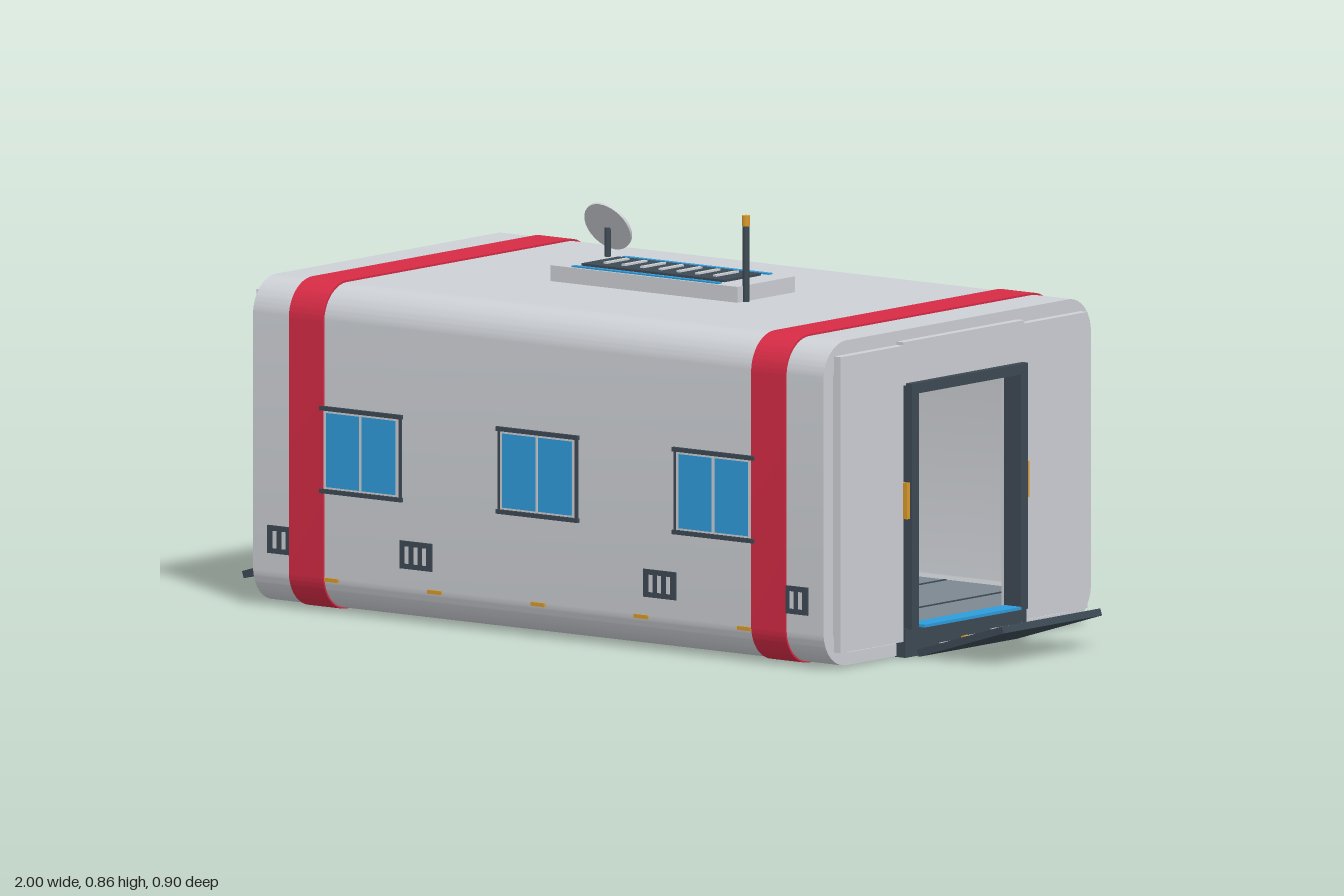
import * as THREE from 'three';
import { toCreasedNormals } from 'three/addons/utils/BufferGeometryUtils.js';

const mat = (name, color) => Object.assign(new THREE.MeshStandardMaterial({ color }), { name });

export function createModel() {
  const M = {
    shell: mat('shell grey', 0xcdd0d5),
    slate: mat('dark slate', 0x3d4a54),
    red: mat('band red', 0xd62b45),
    blue: mat('glass blue', 0x2d9cdb),
    amber: mat('amber', 0xd99a2b),
    floor: mat('floor grey', 0x7d8890),
  };
  const root = new THREE.Group();
  root.name = 'cabinModule';

  const add = (parent, name, geo, material, x = 0, y = 0, z = 0) => {
    const m = new THREE.Mesh(geo, material);
    m.name = name;
    m.position.set(x, y, z);
    parent.add(m);
    return m;
  };
  const box = (parent, name, material, w, h, d, x, y, z) =>
    add(parent, name, new THREE.BoxGeometry(w, h, d), material, x, y, z);
  const group = (name, parent = root) => {
    const g = new THREE.Group();
    g.name = name;
    parent.add(g);
    return g;
  };

  // Rounded cross-section in the z-y plane
  const section = (C, hw, y0, y1, r) => {
    const s = new C();
    s.moveTo(-hw + r, y0);
    s.lineTo(hw - r, y0);
    s.absarc(hw - r, y0 + r, r, -Math.PI / 2, 0);
    s.lineTo(hw, y1 - r);
    s.absarc(hw - r, y1 - r, r, 0, Math.PI / 2);
    s.lineTo(-hw + r, y1);
    s.absarc(-hw + r, y1 - r, r, Math.PI / 2, Math.PI);
    s.lineTo(-hw, y0 + r);
    s.absarc(-hw + r, y0 + r, r, Math.PI, Math.PI * 1.5);
    return s;
  };
  // Extrude a section with a hole along x, centred
  const sleeve = (outer, hole, length) => {
    outer.holes.push(hole);
    const g = new THREE.ExtrudeGeometry(outer, { depth: length, bevelEnabled: false, curveSegments: 12 });
    g.translate(0, 0, -length / 2).rotateY(Math.PI / 2);
    return toCreasedNormals(g, 0.5);
  };

  // Hollow body and wrap-around bands
  add(root, 'bodyShell', sleeve(section(THREE.Shape, 0.441, 0.004, 0.679, 0.075),
    section(THREE.Path, 0.41, 0.03, 0.65, 0.05), 1.498), M.shell);
  for (const s of [-1, 1]) {
    add(root, 'redBand', sleeve(section(THREE.Shape, 0.445, 0.001, 0.683, 0.078),
      section(THREE.Path, 0.44, 0.005, 0.678, 0.074), 0.09), M.red, s * 0.607);
  }

  // Interior floor with seams
  box(root, 'floor', M.floor, 1.47, 0.03, 0.815, 0, 0.045, 0);
  for (let i = -3; i <= 3; i++) box(root, 'floorSeam', M.slate, 0.006, 0.003, 0.8, i * 0.2, 0.0605, 0);

  // Underside plates
  for (const x of [-0.46, 0, 0.46]) box(root, 'undersidePlate', M.slate, 0.15, 0.006, 0.3, x, 0.003, 0);

  // End walls with door frames
  for (const s of [1, -1]) {
    const end = group(s > 0 ? 'leftEnd' : 'rightEnd');
    if (s < 0) end.rotation.y = Math.PI;
    const door = new THREE.Path();
    door.moveTo(-0.17, 0.06);
    door.lineTo(-0.17, 0.55);
    door.lineTo(0.17, 0.55);
    door.lineTo(0.17, 0.06);
    door.closePath();
    add(end, 'endWall', sleeve(section(THREE.Shape, 0.425, 0.02, 0.664, 0.062), door, 0.016), M.shell, 0.738);
    for (const k of [-1, 1]) {
      box(end, 'wallPanel', M.shell, 0.024, 0.615, 0.207, 0.755, 0.3425, k * 0.3035);
      box(end, 'doorJamb', M.slate, 0.045, 0.51, 0.023, 0.76, 0.315, k * 0.1805);
      box(end, 'doorLight', M.amber, 0.03, 0.075, 0.011, 0.763, 0.328, k * 0.1965);
    }
    box(end, 'headerPanel', M.shell, 0.024, 0.09, 0.4, 0.755, 0.612, 0);
    box(end, 'doorLintel', M.slate, 0.045, 0.022, 0.384, 0.76, 0.56, 0);
    box(end, 'doorSill', M.slate, 0.03, 0.06, 0.4, 0.757, 0.032, 0);
    box(end, 'thresholdStrip', M.blue, 0.045, 0.006, 0.32, 0.768, 0.065, 0);
  }

  // Ramps, both pitched the same way
  for (const s of [-1, 1]) {
    const ramp = group(s > 0 ? 'leftRamp' : 'rightRamp');
    ramp.position.set(s * 0.886, 0.042, 0);
    ramp.rotation.z = 0.3;
    box(ramp, 'rampPlate', M.slate, 0.234, 0.015, 0.325, 0, 0, 0);
    for (const x of [-0.07, 0, 0.07]) box(ramp, 'rampTread', M.shell, 0.006, 0.004, 0.28, x, 0.0085, 0);
    for (const k of [-1, 1]) box(ramp, 'rampMarker', M.amber, 0.01, 0.005, 0.01, 0, 0.009, k * 0.145);
  }

  // Long sides: windows, vents and marker lights
  for (const s of [1, -1]) {
    const side = group(s > 0 ? 'frontSide' : 'backSide');
    if (s < 0) side.rotation.y = Math.PI;
    for (const x of [-0.463, 0, 0.463]) {
      const win = group('window', side);
      win.position.set(x, 0.34, 0.441);
      box(win, 'windowFrame', M.slate, 0.21, 0.175, 0.004, 0, 0, 0.001);
      box(win, 'windowTrim', M.shell, 0.196, 0.162, 0.004, 0, 0, 0.002);
      box(win, 'windowGlass', M.blue, 0.182, 0.154, 0.004, 0, 0, 0.003);
      box(win, 'mullion', M.shell, 0.006, 0.154, 0.004, 0, 0, 0.004);
      for (const k of [-1, 1]) box(win, 'windowLedge', M.slate, 0.215, 0.009, 0.008, 0, k * 0.086, 0.003);
    }
    for (const x of [-0.667, -0.32, 0.32, 0.667]) {
      const vent = group('vent', side);
      vent.position.set(x, 0.141, 0.441);
      box(vent, 'ventPlate', M.slate, 0.085, 0.058, 0.004, 0, 0, 0.001);
      for (let i = -1; i <= 1; i++) box(vent, 'ventSlat', M.shell, 0.01, 0.036, 0.003, i * 0.023, 0, 0.0022);
    }
    for (let i = -2; i <= 2; i++) box(side, 'markerLight', M.amber, 0.036, 0.008, 0.007, i * 0.271, 0.07, 0.441);
  }

  // Roof unit
  const roof = group('roofUnit');
  box(roof, 'roofBox', M.shell, 0.49, 0.034, 0.19, 0.002, 0.695, 0);
  box(roof, 'roofGrille', M.slate, 0.375, 0.006, 0.122, -0.002, 0.714, 0);
  for (let i = -3; i <= 3; i++) box(roof, 'grilleSlat', M.shell, 0.009, 0.005, 0.074, i * 0.048 - 0.002, 0.7185, 0);
  for (const k of [-1, 1]) box(roof, 'roofStrip', M.blue, 0.385, 0.005, 0.012, 0, 0.7125, k * 0.083);

  // Antenna
  add(root, 'antennaMast', new THREE.CylinderGeometry(0.007, 0.007, 0.16, 10), M.slate, 0.25, 0.757, 0.07);
  add(root, 'antennaTip', new THREE.CylinderGeometry(0.009, 0.009, 0.022, 10), M.amber, 0.25, 0.847, 0.07);

  // Dish tilted up toward the back
  add(root, 'dishPost', new THREE.CylinderGeometry(0.007, 0.007, 0.09, 10), M.slate, -0.228, 0.727, -0.074);
  const dish = group('dish');
  dish.position.set(-0.228, 0.775, -0.076);
  dish.rotation.x = -Math.atan2(0.101, 0.055);
  add(dish, 'dishPlate', new THREE.CylinderGeometry(0.057, 0.057, 0.006, 28), M.shell);
  add(dish, 'dishFeed', new THREE.CylinderGeometry(0.008, 0.008, 0.004, 12), M.slate, 0, 0.004, 0);

  return root;
}
